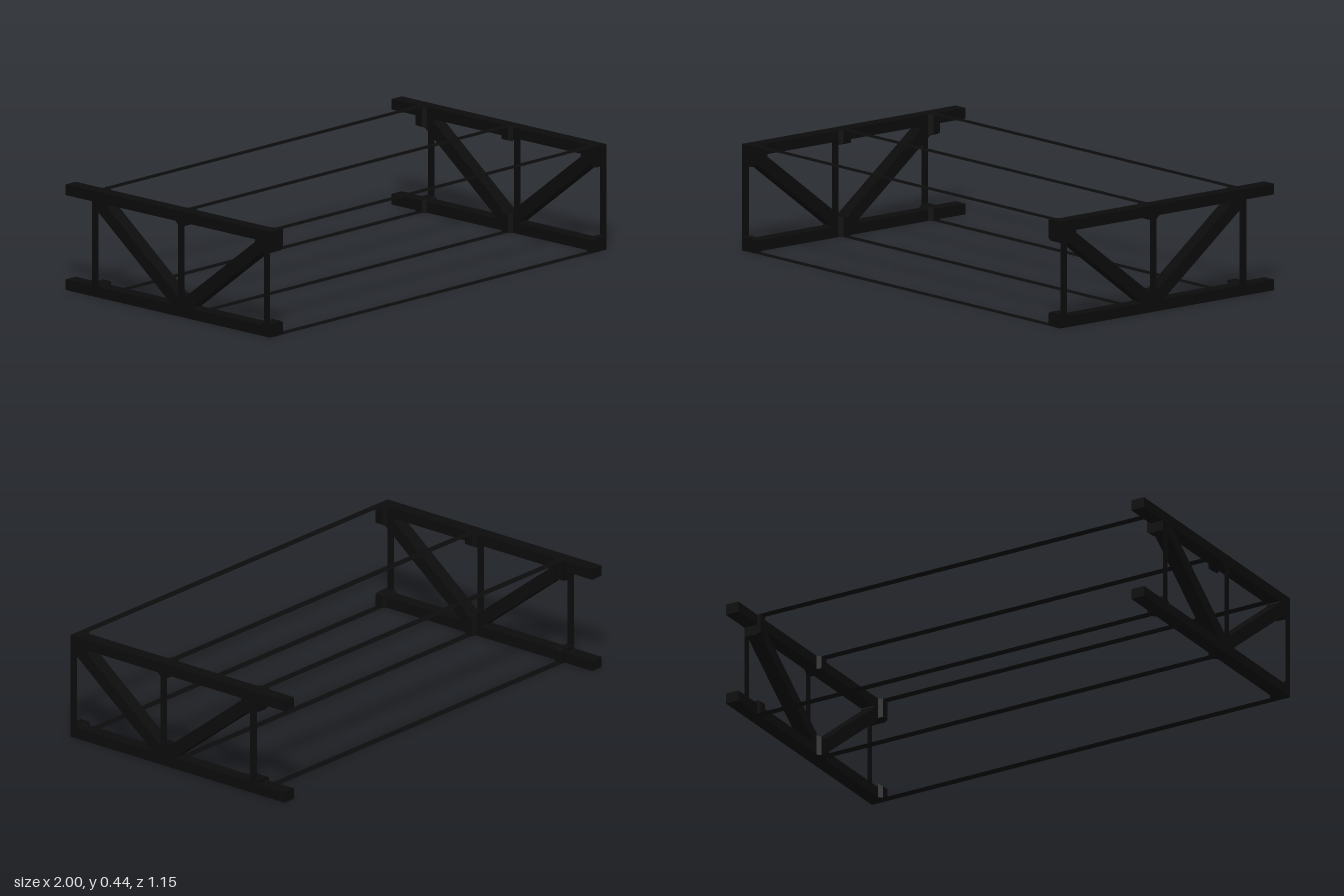
import * as THREE from 'three';
import { ConvexGeometry } from 'three/addons/geometries/ConvexGeometry.js';

const MID = 0.074;                 // z of the middle post
const SPAN = 0.482;                // spacing between posts
const H = 0.445, L = 0.574;        // frame height, half length
const T = 0.06, C = 0.045;         // chord depth in x, chord height
const W = 0.036;                   // width of posts and cross strips

const black = new THREE.MeshStandardMaterial({ color: 0x0b0b0b, flatShading: true });
const thin = new THREE.MeshStandardMaterial({ color: 0x0b0b0b, side: THREE.DoubleSide });

function add(parent, name, geometry, material = black) {
  const mesh = new THREE.Mesh(geometry, material);
  mesh.name = name;
  parent.add(mesh);
  return mesh;
}

// Plate drawn as [z, y] points, extruded inward from the outer face x = 1
function plate(points) {
  const shape = new THREE.Shape(points.map(([z, y]) => new THREE.Vector2(z, y)));
  return new THREE.ExtrudeGeometry(shape, { depth: T, bevelEnabled: false })
    .rotateY(-Math.PI / 2).translate(1, 0, 0);
}

// Tapered inner block where a cross strip meets a node
function strut(z, height, top, openFront, openBack) {
  const points = [];
  for (const [x, grow, h] of [[1 - T, 0.015, height], [0.925, 0, height - 0.008]]) {
    for (const zz of [z - W / 2 - (openBack ? grow : 0), z + W / 2 + (openFront ? grow : 0)]) {
      for (const y of [0, h]) points.push(new THREE.Vector3(x, top ? H - y : y, zz));
    }
  }
  return new ConvexGeometry(points);
}

function createSideFrame() {
  const frame = new THREE.Group();

  // Top and bottom chords
  for (const [name, y] of [['bottomChord', C / 2], ['topChord', H - C / 2]]) {
    add(frame, name, new THREE.BoxGeometry(T, C, 2 * L)).position.set(1 - T / 2, y, 0);
  }

  // Thin upright posts on the outer face
  for (const i of [-1, 0, 1]) {
    add(frame, 'post', new THREE.PlaneGeometry(W, H - C).rotateY(Math.PI / 2), thin)
      .position.set(1, H / 2, MID + i * SPAN);
  }

  for (const s of [-1, 1]) {
    const at = (list) => list.map(([d, y]) => [MID + s * d, y]);

    // Diagonal brace from the bottom middle to an upper corner
    const a = [0.01, 0.044], b = [0.473, 0.4];
    const len = Math.hypot(b[0] - a[0], b[1] - a[1]);
    const n = [-(b[1] - a[1]) / len * 0.027, (b[0] - a[0]) / len * 0.027];
    add(frame, 'diagonalBrace', plate(at([
      [a[0] + n[0], a[1] + n[1]], [a[0] - n[0], a[1] - n[1]],
      [b[0] - n[0], b[1] - n[1]], [b[0] + n[0], b[1] + n[1]],
    ])));

    // Upper corner gusset
    add(frame, 'upperCornerGusset', plate(at([
      [0.5, H], [0.5, 0.357], [0.463, 0.357], [0.451, 0.362],
      [0.413, 0.391], [0.416, 0.4], [0.416, H],
    ])));

    // Lower corner gusset
    add(frame, 'lowerCornerGusset', plate(at([
      [0.5, 0], [0.5, 0.058], [0.464, 0.058], [0.45, C], [0.45, 0],
    ])));
  }

  // Middle gussets
  add(frame, 'lowerMiddleGusset', plate([
    [-0.066, 0], [0.066, 0], [0.066, C], [0.058, 0.056], [0.03, 0.08], [0.018, 0.085],
    [-0.018, 0.085], [-0.03, 0.08], [-0.058, 0.056], [-0.066, C],
  ].map(([d, y]) => [MID + d, y])));
  add(frame, 'upperMiddleGusset', plate([
    [-0.033, H], [-0.033, 0.4], [-0.018, 0.386], [0.018, 0.386], [0.033, 0.4], [0.033, H],
  ].map(([d, y]) => [MID + d, y])));

  // Inner blocks that receive the cross strips
  for (const i of [-1, 0, 1]) {
    for (const top of [false, true]) {
      const height = top === (i !== 0) ? 0.088 : 0.06;
      add(frame, 'stripSocket', strut(MID + i * SPAN, height, top, i < 1, i > -1));
    }
  }
  return frame;
}

export function createModel() {
  const model = new THREE.Group();
  model.name = 'trussFrame';

  // Mirrored side frames
  for (const [name, s] of [['leftFrame', 1], ['rightFrame', -1]]) {
    const frame = createSideFrame();
    frame.name = name;
    frame.scale.x = s;
    model.add(frame);
  }

  // Thin flat strips joining the two frames
  for (const [name, y] of [['bottomCrossStrip', 0], ['topCrossStrip', H]]) {
    for (const i of [-1, 0, 1]) {
      add(model, name, new THREE.PlaneGeometry(2 * (1 - T), W).rotateX(-Math.PI / 2), thin)
        .position.set(0, y, MID + i * SPAN);
    }
  }
  return model;
}
